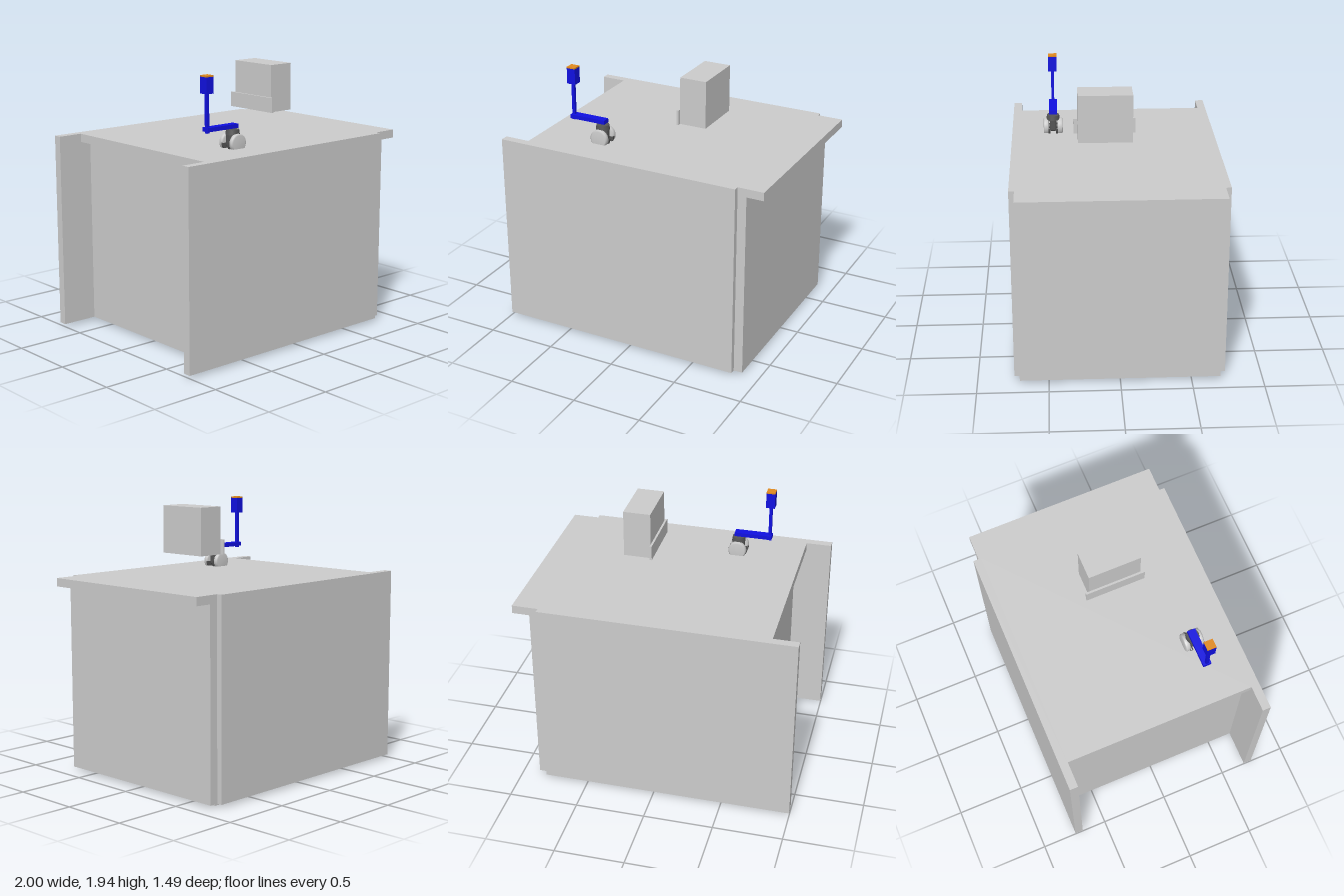
import * as THREE from 'three';
import { RoundedBoxGeometry } from 'three/addons/geometries/RoundedBoxGeometry.js';

const material = (color) => new THREE.MeshStandardMaterial({ color });
const grey = material(0xcccccc);
const blue = material(0x1010e0);
const orange = material(0xe08a20);
const dark = material(0x555555);

// Box given by its extents on each axis
function slab(parent, name, [x0, x1], [y0, y1], [z0, z1], mat = grey) {
  const mesh = new THREE.Mesh(new THREE.BoxGeometry(x1 - x0, y1 - y0, z1 - z0), mat);
  mesh.position.set((x0 + x1) / 2, (y0 + y1) / 2, (z0 + z1) / 2);
  mesh.name = name;
  parent.add(mesh);
  return mesh;
}

// Twin-wheel caster, origin at the axle
function createCaster() {
  const caster = new THREE.Group();
  caster.name = 'caster';
  const profile = [[0, -0.019], [0.055, -0.019], [0.065, -0.012], [0.065, 0.012], [0.055, 0.019], [0, 0.019]]
    .map(([r, h]) => new THREE.Vector2(r, h));
  for (const side of [-1, 1]) {
    const wheel = new THREE.Mesh(new THREE.LatheGeometry(profile, 32), grey);
    wheel.name = 'wheel';
    wheel.rotation.x = Math.PI / 2;
    wheel.position.z = side * 0.051;
    caster.add(wheel);
    // hood over the inner edge of each wheel
    const hood = new THREE.Mesh(
      new THREE.CylinderGeometry(0.07, 0.07, 0.016, 24, 1, false, 0, Math.PI), dark);
    hood.name = 'hood';
    hood.rotation.set(Math.PI / 2, Math.PI / 2, 0, 'ZXY');
    hood.rotation.set(Math.PI / 2, 0, 0);
    hood.geometry.rotateY(Math.PI / 2);
    hood.geometry.scale(1, 1, -1);
    hood.material = new THREE.MeshStandardMaterial({ color: 0x555555, side: THREE.DoubleSide });
    hood.position.z = side * 0.028;
    caster.add(hood);
  }
  const axle = new THREE.Mesh(new THREE.CylinderGeometry(0.02, 0.02, 0.1, 16), dark);
  axle.name = 'axle';
  axle.rotation.x = Math.PI / 2;
  caster.add(axle);
  const body = new THREE.Mesh(new RoundedBoxGeometry(0.09, 0.1, 0.05, 2, 0.015), dark);
  body.name = 'casterBody';
  body.position.y = 0.022;
  caster.add(body);
  const swivel = new THREE.Mesh(new THREE.CylinderGeometry(0.045, 0.05, 0.035, 24), dark);
  swivel.name = 'swivel';
  swivel.position.y = 0.073;
  caster.add(swivel);
  return caster;
}

export function createModel() {
  const model = new THREE.Group();
  model.name = 'cabinet';

  // Cabinet carcass
  for (const side of [-1, 1]) {
    const z = [0.683 * side, 0.743 * side].sort((a, b) => a - b);
    slab(model, 'sidePanel', [-1, 0.813], [0.02, 1.425], z);
  }
  slab(model, 'topPanel', [-0.817, 0.813], [1.365, 1.425], [-0.683, 0.683]);
  slab(model, 'topOverhang', [0.813, 1], [1.365, 1.425], [-0.704, 0.704]);
  slab(model, 'endPanel', [0.813, 0.877], [0.02, 1.365], [-0.704, 0.704]);
  slab(model, 'recessedPanel', [-0.735, -0.677], [0.02, 1.365], [-0.683, 0.683]);
  slab(model, 'floorPanel', [-0.545, 0.813], [0, 0.06], [-0.681, 0.681]);

  // Box with backing plate, held above the top
  slab(model, 'box', [0.17, 0.365], [1.59, 1.93], [-0.11, 0.27]);
  slab(model, 'backingPlate', [0.155, 0.17], [1.59, 1.697], [-0.138, 0.298]);

  // Casters: one through the top, one inside by the floor slot
  for (const [x, y] of [[-0.35, 1.462], [-0.59, 0.14]]) {
    const caster = createCaster();
    caster.position.set(x, y, 0.44);
    model.add(caster);
  }

  // Signal lamp on a bracket
  const lamp = new THREE.Group();
  lamp.name = 'signalLamp';
  slab(lamp, 'arm', [-0.595, -0.323], [1.562, 1.591], [0.41, 0.468], blue);
  slab(lamp, 'post', [-0.591, -0.569], [1.55, 1.82], [0.429, 0.45], blue);
  slab(lamp, 'head', [-0.611, -0.547], [1.82, 1.933], [0.407, 0.471], blue);
  slab(lamp, 'cap', [-0.611, -0.547], [1.933, 1.943], [0.407, 0.471], orange);
  model.add(lamp);

  return model;
}
